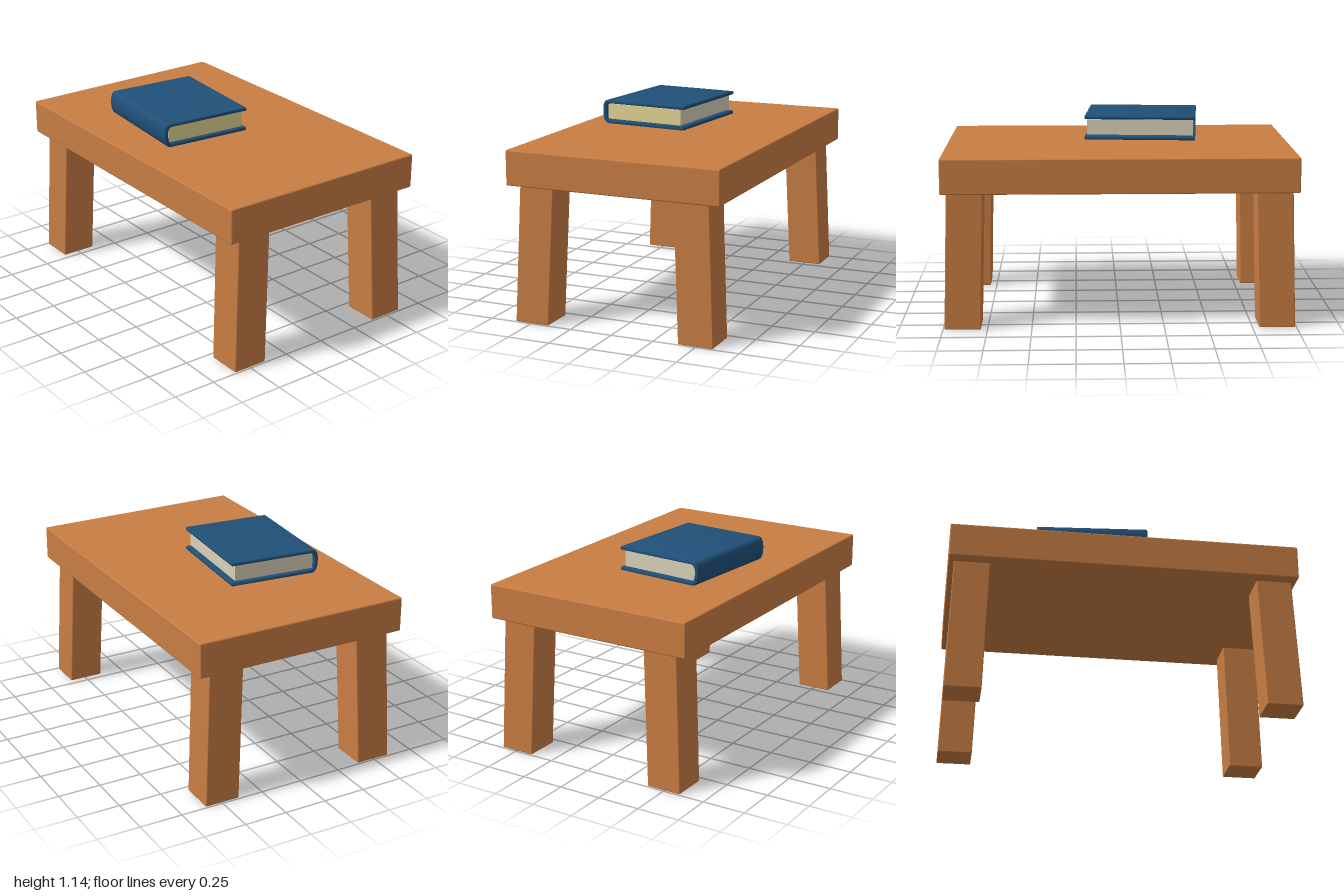
import * as THREE from 'three';
import { toCreasedNormals } from 'three/addons/utils/BufferGeometryUtils.js';
import { RoundedBoxGeometry } from 'three/addons/geometries/RoundedBoxGeometry.js';

const material = (name, color) => {
  const m = new THREE.MeshStandardMaterial({ color });
  m.name = name;
  return m;
};

export function createModel() {
  const wood = material('warm wood', 0xc87d43);
  const blue = material('blue cover', 0x205078);
  const cream = material('pale paper', 0xd8d0b8);
  const yellow = material('yellowed paper', 0xe0d490);

  const model = new THREE.Group();
  model.name = 'tableWithBook';
  const add = (parent, name, geometry, mat, x = 0, y = 0, z = 0) => {
    const mesh = new THREE.Mesh(geometry, mat);
    mesh.name = name;
    mesh.position.set(x, y, z);
    parent.add(mesh);
    return mesh;
  };

  // Thick table top with softened edges
  add(model, 'tableTop', new RoundedBoxGeometry(2, 0.2, 1.27, 2, 0.008), wood, 0, 0.88, 0);

  // Square legs, splayed outwards towards the floor
  for (const sx of [-1, 1]) {
    for (const sz of [-1, 1]) {
      const leg = new RoundedBoxGeometry(0.205, 0.785, 0.205, 2, 0.006);
      const p = leg.attributes.position;
      for (let i = 0; i < p.count; i++) {
        const down = 0.5 - p.getY(i) / 0.785;
        p.setX(i, p.getX(i) + sx * 0.022 * down);
        p.setZ(i, p.getZ(i) + sz * 0.035 * down);
      }
      const side = (sz > 0 ? 'front' : 'back') + (sx > 0 ? 'Left' : 'Right');
      add(model, side + 'Leg', leg, wood, sx * 0.868, 0.3925, sz * 0.461);
    }
  }

  // Book, turned slightly on the table, spine towards the front
  const book = new THREE.Group();
  book.name = 'book';
  book.position.set(-0.15, 1, 0.165);
  book.rotation.y = -0.085;
  model.add(book);

  // Cover and rounded spine: a C-shaped section swept along the spine
  const c = new THREE.Shape();
  c.moveTo(-0.268, 0);
  c.lineTo(0.235, 0);
  c.bezierCurveTo(0.262, 0.004, 0.27, 0.04, 0.27, 0.075);
  c.bezierCurveTo(0.27, 0.115, 0.262, 0.14, 0.235, 0.14);
  c.lineTo(-0.268, 0.14);
  c.quadraticCurveTo(-0.278, 0.13, -0.268, 0.12);
  c.lineTo(0.225, 0.12);
  c.quadraticCurveTo(0.248, 0.116, 0.248, 0.075);
  c.quadraticCurveTo(0.246, 0.024, 0.225, 0.02);
  c.lineTo(-0.268, 0.02);
  c.quadraticCurveTo(-0.276, 0.01, -0.268, 0);
  const coverGeometry = new THREE.ExtrudeGeometry(c, {
    depth: 0.636, curveSegments: 8, bevelThickness: 0.006, bevelSize: 0.004,
    bevelOffset: -0.004, bevelSegments: 2,
  });
  coverGeometry.translate(0, 0, -0.318);
  coverGeometry.rotateY(-Math.PI / 2);
  add(book, 'cover', toCreasedNormals(coverGeometry, 0.7), blue);

  // Page block, yellowed on one end
  add(book, 'pages', new THREE.BoxGeometry(0.62, 0.09, 0.486),
    [yellow, cream, cream, cream, cream, cream], 0, 0.071, -0.003);

  return model;
}
